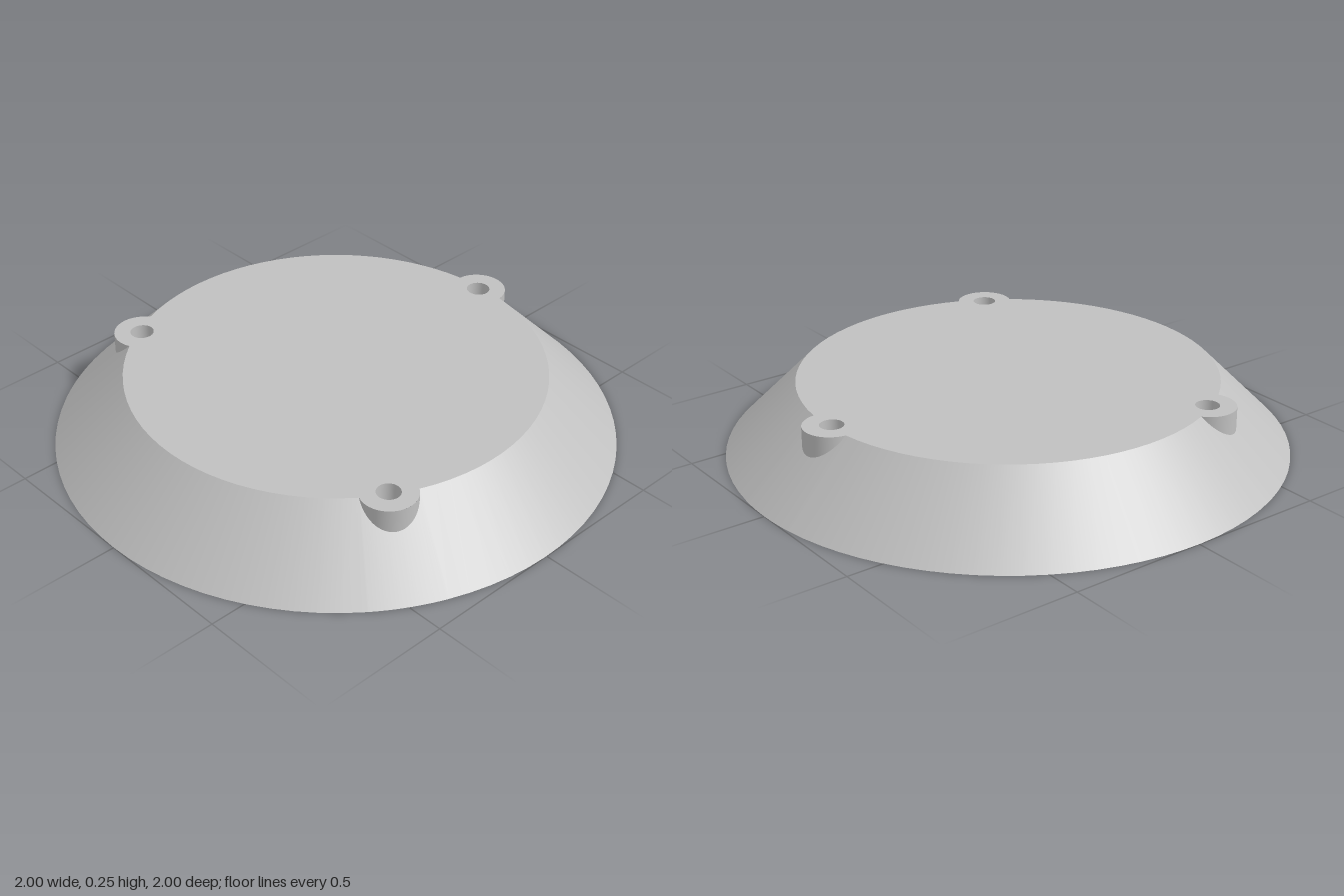
import * as THREE from 'three';

const HEIGHT = 0.255, CEILING = 0.21;        // top face, underside of the top plate
const R_TOP = 0.745, R_IN_TOP = 0.704, R_IN = 0.914;
const POST_C = 0.73, POST_R = 0.1, HOLE_R = 0.042;
const POST_ANGLES = [90, 210, 330].map(THREE.MathUtils.degToRad);

// Plan points: x to the right, y towards the back, counter-clockwise from above
const polar = (r, a) => new THREE.Vector2(r * Math.cos(a), r * Math.sin(a));
const circle = (r, n, c = new THREE.Vector2()) =>
  Array.from({ length: n }, (_, i) => polar(r, (i / n) * Math.PI * 2).add(c));
const lift = (pts, height) =>
  pts.map(p => new THREE.Vector3(p.x, typeof height === 'function' ? height(p.length()) : height, -p.y));

// Disc of the given radius joined with the three round post lobes
function lobedOutline(radius) {
  const pts = [];
  const cosine = (radius ** 2 - POST_C ** 2 - POST_R ** 2) / (2 * POST_C * POST_R);
  const half = Math.min(Math.acos(cosine), 1.7);
  const phi = Math.atan2(POST_R * Math.sin(half), POST_C + POST_R * Math.cos(half));
  for (const a of POST_ANGLES) {
    const centre = polar(POST_C, a);
    for (let i = 0; i <= 20; i++) pts.push(polar(POST_R, a + half * (i / 10 - 1)).add(centre));
    const span = (Math.PI * 2) / 3 - 2 * phi;
    for (let i = 1; i < 24; i++) pts.push(polar(radius, a + phi + (span * i) / 24));
  }
  return pts;
}

// Closed band between two loops; faces outward when the first loop is the lower one
function band(lower, upper) {
  const n = lower.length, index = [];
  for (let i = 0; i < n; i++) {
    const j = (i + 1) % n;
    index.push(i, j, n + j, i, n + j, n + i);
  }
  const geometry = new THREE.BufferGeometry().setFromPoints([...lower, ...upper]);
  geometry.setIndex(index);
  geometry.computeVertexNormals();
  return geometry;
}

// Flat plate face pierced by the screw holes
function piercedFace(outline) {
  const shape = new THREE.Shape(outline);
  for (const a of POST_ANGLES) shape.holes.push(new THREE.Path(circle(HOLE_R, 32, polar(POST_C, a))));
  return new THREE.ShapeGeometry(shape);
}

export function createModel() {
  const group = new THREE.Group();
  const grey = new THREE.MeshStandardMaterial({ color: 0xc0c0c0 });
  grey.name = 'light grey';
  const add = (parent, name, geometry) => {
    const mesh = new THREE.Mesh(geometry, grey);
    mesh.name = name;
    parent.add(mesh);
  };

  // Sloping shell, cut away where the posts pass through
  const outer = lobedOutline(R_TOP), inner = lobedOutline(R_IN_TOP);
  const onCircle = (pts, r) => pts.map(p => p.clone().setLength(r));
  add(group, 'outerSlope', band(lift(onCircle(outer, 1), 0), lift(outer, r => HEIGHT * (1 - r) / (1 - R_TOP))));
  add(group, 'innerSlope', band(
    lift(inner, r => CEILING * (R_IN - r) / (R_IN - R_IN_TOP)), lift(onCircle(inner, R_IN), 0)));
  add(group, 'bottomRim', band(lift(onCircle(outer, R_IN), 0), lift(onCircle(outer, 1), 0)));

  // Top plate, upper and lower faces
  add(group, 'topFace', piercedFace(outer).rotateX(-Math.PI / 2).translate(0, HEIGHT, 0));
  add(group, 'ceiling', piercedFace(inner).rotateX(Math.PI / 2).rotateY(Math.PI).translate(0, CEILING, 0));

  // Hollow screw posts
  for (const a of POST_ANGLES) {
    const post = new THREE.Group();
    post.name = 'screwPost';
    const wall = circle(POST_R, 48), hole = circle(HOLE_R, 48);
    add(post, 'postWall', band(lift(wall, 0), lift(wall, HEIGHT)));
    add(post, 'postHole', band(lift(hole, HEIGHT), lift(hole, 0)));
    add(post, 'postEnd', band(lift(hole, 0), lift(wall, 0)));
    const centre = polar(POST_C, a);
    post.position.set(centre.x, 0, -centre.y);
    group.add(post);
  }
  return group;
}
